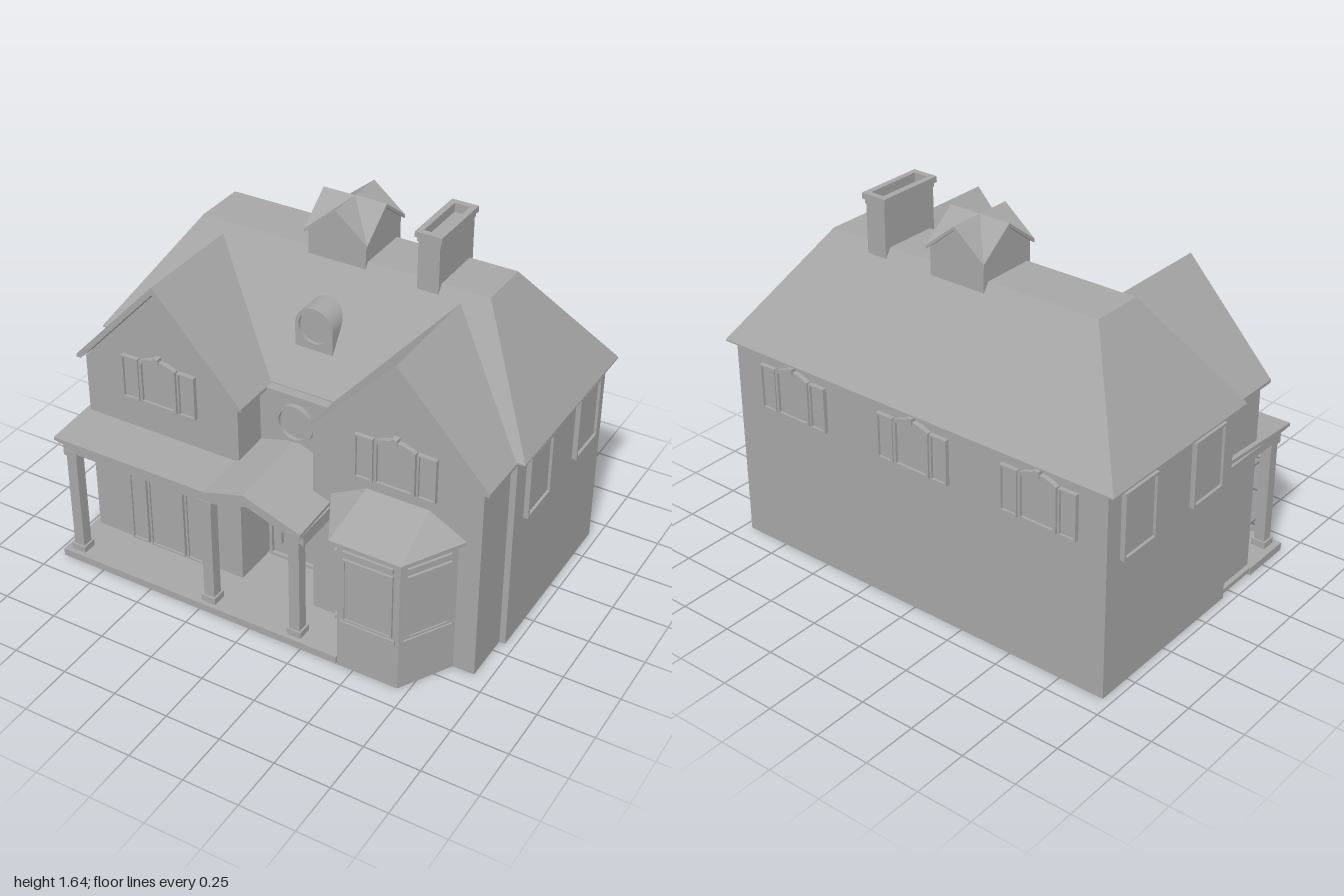
import * as THREE from 'three';
import { ConvexGeometry } from 'three/addons/geometries/ConvexGeometry.js';

const grey = new THREE.MeshStandardMaterial({ color: 0xa6a6a6 });
grey.name = 'plaster grey';

function add(parent, name, geo, x = 0, y = 0, z = 0, ry = 0) {
  const m = new THREE.Mesh(geo, grey);
  m.name = name;
  m.position.set(x, y, z);
  m.rotation.y = ry;
  parent.add(m);
  return m;
}
function group(parent, name, x = 0, y = 0, z = 0, ry = 0) {
  const g = new THREE.Group();
  g.name = name;
  g.position.set(x, y, z);
  g.rotation.y = ry;
  parent.add(g);
  return g;
}
const v3 = (a) => new THREE.Vector3(...a);
const poly = (pts) => new THREE.Shape(pts.map(([x, y]) => new THREE.Vector2(x, y)));
// plan rectangle, counter-clockwise seen from above
const rect = (x0, x1, z0, z1) => [[x0, z1], [x1, z1], [x1, z0], [x0, z0]];
const extrude = (shape, depth) =>
  new THREE.ExtrudeGeometry(shape, { depth, bevelEnabled: false, curveSegments: 12 });

// box given by its min and max corners
function block(parent, name, x0, x1, y0, y1, z0, z1) {
  return add(parent, name, new THREE.BoxGeometry(x1 - x0, y1 - y0, z1 - z0),
    (x0 + x1) / 2, (y0 + y1) / 2, (z0 + z1) / 2);
}
// plan outline of [x, z] points raised from y0 to y1, hollow if an inner outline is given
function prism(parent, name, pts, y0, y1, inner) {
  const flip = (list) => poly(list.map(([x, z]) => [x, -z]));
  const s = flip(pts);
  if (inner) s.holes.push(flip(inner));
  return add(parent, name, extrude(s, y1 - y0).rotateX(-Math.PI / 2), 0, y0, 0);
}
// rectangle with an optional arched top, standing on y0
function archShape(w, h, rise = 0, y0 = 0) {
  const s = new THREE.Shape();
  s.moveTo(-w / 2, y0);
  s.lineTo(w / 2, y0);
  s.lineTo(w / 2, y0 + h);
  if (rise) s.quadraticCurveTo(0, y0 + h + rise * 2, -w / 2, y0 + h);
  else s.lineTo(-w / 2, y0 + h);
  return s;
}
// frame with a recessed pane, facing local +z, standing on y = 0
function framed(parent, name, w, h, x, y, z, ry = 0, rise = 0, depth = 0.02, rim = 0.012) {
  const g = group(parent, name, x, y, z, ry);
  const s = archShape(w, h, rise);
  s.holes.push(archShape(w - 2 * rim, h - 2 * rim, rise, rim));
  add(g, 'frame', extrude(s, depth));
  add(g, 'pane', extrude(archShape(w - rim, h - rim, rise, rim / 2), depth * 0.45));
  return g;
}
// arched window with a shutter on each side and a keystone
function shutteredWindow(parent, name, x, y, z, ry = 0) {
  const g = group(parent, name, x, y, z, ry);
  framed(g, 'archedWindow', 0.18, 0.205, 0, 0, 0, 0, 0.025, 0.022);
  for (const s of [-1, 1]) framed(g, 'shutter', 0.083, 0.205, s * 0.139, 0, 0, 0, 0, 0.02, 0.008);
  block(g, 'keystone', -0.013, 0.013, 0.215, 0.245, 0, 0.028);
}
// round frame with a recessed flat pane
function roundWindow(parent, name, r, x, y, z, depth) {
  const g = group(parent, name, x, y, z);
  const s = new THREE.Shape().absarc(0, 0, r, 0, Math.PI * 2);
  s.holes.push(new THREE.Path().absarc(0, 0, r - 0.013, 0, Math.PI * 2, true));
  add(g, 'roundFrame', new THREE.ExtrudeGeometry(s, { depth, bevelEnabled: false, curveSegments: 32 }));
  add(g, 'roundPane', new THREE.CircleGeometry(r - 0.006, 32), 0, 0, depth * 0.35);
}
const gableWall = (halfW, base, eave, peak, z0, z1) =>
  extrude(poly([[-halfW, base], [halfW, base], [halfW, eave], [0, peak], [-halfW, eave]]), z1 - z0)
    .translate(0, 0, z0);

function buildBody(root) {
  prism(root, 'mainWalls', rect(-0.96, 0.96, -0.66, 0.19), 0, 0.932, rect(-0.94, 0.94, -0.64, 0.17));
  // hipped main roof with a flat top
  const pts = [];
  for (const s of [-1, 1]) {
    for (const y of [0.93, 0.937]) pts.push([s, y, -0.685], [s, y, 0.21]);
    pts.push([s * 0.67, 1.42, -0.345], [s * 0.67, 1.42, -0.105]);
  }
  add(root, 'mainRoof', new ConvexGeometry(pts.map(v3)));

  for (const s of [-1, 1]) {
    // front wings with gables
    const wing = group(root, 'gableWing', s * 0.555);
    prism(wing, 'wingWall', rect(-0.378, 0.378, 0.19, 0.42), 0, 0.9, rect(-0.358, 0.358, 0.2, 0.4));
    add(wing, 'wingGable', gableWall(0.378, 0.9, 0.925, 1.335, 0.18, 0.42));
    // folded roof slab with level-cut eaves
    const slab = poly([[-0.41, 0.918], [-0.389, 0.918], [0, 1.34], [0.389, 0.918], [0.41, 0.918],
      [0.41, 0.932], [0, 1.375], [-0.41, 0.932]]);
    const roof = extrude(slab, 0.943).translate(0, 0, -0.5);
    // cut the rear of the slab along the main roof slope
    const p = roof.attributes.position;
    for (let i = 0; i < p.count; i++) {
      if (p.getZ(i) < 0) p.setZ(i, Math.min(0.2, 0.2 - (p.getY(i) - 0.93) * 0.63));
    }
    roof.computeVertexNormals();
    add(wing, 'wingRoof', roof);
    shutteredWindow(wing, 'wingWindow', 0, 0.795, 0.42);
    // side windows
    for (const z of [-0.005, -0.47])
      framed(root, 'sideWindow', 0.212, 0.297, s * 0.96, 0.598, z, s * Math.PI / 2, 0, 0.022);
  }
  for (const x of [-0.647, -0.02, 0.63]) shutteredWindow(root, 'backWindow', x, 0.675, -0.66, Math.PI);
  // upper wall between the wings
  block(root, 'entryUpperWall', -0.18, 0.18, 0.62, 0.932, 0.18, 0.252);
  roundWindow(root, 'upperRoundWindow', 0.087, 0, 0.81, 0.25, 0.026);
}

// thin four-gabled roof: a ring of eave corners and gable peaks around a centre
function starRoof(w, d, eave, peak, t) {
  const ring = [[w, eave, d], [w, peak, 0], [w, eave, -d], [0, peak, -d],
    [-w, eave, -d], [-w, peak, 0], [-w, eave, d], [0, peak, d]];
  const pos = [];
  const low = ([x, y, z]) => [x, y - t, z];
  const c = [0, peak, 0];
  ring.forEach((a, i) => {
    const b = ring[(i + 1) % 8];
    pos.push(...a, ...b, ...c, ...low(b), ...low(a), ...low(c));
    pos.push(...a, ...low(a), ...b, ...b, ...low(a), ...low(b));
  });
  const geo = new THREE.BufferGeometry();
  geo.setAttribute('position', new THREE.Float32BufferAttribute(pos, 3));
  geo.computeVertexNormals();
  return geo;
}

function buildRoofDetails(root) {
  // arched dormer with a round opening
  const dormer = group(root, 'dormer');
  const s = new THREE.Shape();
  s.moveTo(-0.088, 1.08);
  s.lineTo(0.088, 1.08);
  s.lineTo(0.088, 1.187);
  s.absarc(0, 1.187, 0.088, 0, Math.PI);
  s.holes.push(new THREE.Path().absarc(0, 1.185, 0.073, 0, Math.PI * 2, true));
  add(dormer, 'dormerBody', extrude(s, 0.13), 0, 0, -0.015);
  add(dormer, 'dormerPane', new THREE.CircleGeometry(0.078, 32), 0, 1.185, 0.1);

  // square cupola with crossing gables
  const cupola = group(root, 'cupola', -0.013, 0, -0.232);
  for (const [w, d, ry] of [[0.134, 0.144, 0], [0.144, 0.134, Math.PI / 2]])
    add(cupola, 'cupolaWall', gableWall(w, 1.38, 1.5, 1.612, -d, d), 0, 0, 0, ry);
  add(cupola, 'cupolaRoof', starRoof(0.147, 0.157, 1.507, 1.628, 0.016));

  // chimney with hollow cap
  const chimney = group(root, 'chimney', 0.407, 0, -0.227);
  const flue = rect(-0.034, 0.034, -0.13, 0.13);
  block(chimney, 'shaft', -0.048, 0.048, 1.36, 1.6, -0.147, 0.147);
  prism(chimney, 'capNeck', rect(-0.052, 0.052, -0.15, 0.15), 1.595, 1.615, flue);
  prism(chimney, 'capRim', rect(-0.06, 0.06, -0.157, 0.157), 1.615, 1.64, flue);
}

function buildPorch(root) {
  const porch = group(root, 'porch');
  block(porch, 'deck', -0.955, 0.42, 0.015, 0.035, -0.65, 0.645);
  prism(porch, 'deckSkirt', rect(-0.96, 0.42, 0.4, 0.65), 0, 0.035, rect(-0.94, 0.4, 0.42, 0.63));
  // roof, cornice and beam share one front profile with a raised centre
  const band = (name, x0, lo, hi, z1, rise) => {
    const line = [[x0, 0], [-0.2, 0], [-0.01, 0.055], [0.256, -0.037]];
    const pts = [...line.map(([x, y]) => [x, y + lo]), ...line.reverse().map(([x, y]) => [x, y + hi])];
    const geo = extrude(poly(pts), z1 - 0.19);
    // lift the rear edge so the roof drains forward
    const p = geo.attributes.position;
    for (let i = 0; i < p.count; i++) if (p.getZ(i) < 0.01) p.setY(i, p.getY(i) + rise);
    geo.computeVertexNormals();
    add(porch, name, geo, 0, 0, 0.19);
  };
  band('porchRoof', -0.955, 0.618, 0.634, 0.65, 0.028);
  band('porchCornice', -0.945, 0.605, 0.618, 0.64, 0);
  band('porchBeam', -0.93, 0.56, 0.605, 0.625, 0);
  for (const x of [-0.895, -0.215, 0.205]) {
    const post = group(porch, 'post', x, 0, 0.595);
    block(post, 'postBase', -0.034, 0.034, 0.035, 0.065, -0.034, 0.034);
    block(post, 'postShaft', -0.025, 0.025, 0.065, 0.57, -0.025, 0.025);
    block(post, 'postCapital', -0.033, 0.033, 0.54, 0.57, -0.033, 0.033);
  }
  // triple window under the porch
  const win = group(root, 'porchWindow', -0.555, 0.04, 0.42);
  block(win, 'header', -0.195, 0.195, 0.455, 0.5, 0, 0.018);
  for (const [x, w] of [[-0.145, 0.088], [0, 0.18], [0.145, 0.088]])
    framed(win, 'glazing', w, 0.445, x, 0, 0, 0, 0, 0.016, 0.009);
  // front door
  const door = framed(root, 'frontDoor', 0.335, 0.46, 0, 0.035, 0.19, 0, 0.025, 0.03, 0.014);
  block(door, 'doorHandle', -0.108, -0.102, 0.08, 0.355, 0.01, 0.035);
}

function buildBay(root) {
  const bay = group(root, 'bayWindow');
  const cx = 0.565;
  const outline = (o, back) => [[cx - 0.272 - o, back], [cx - 0.272 - o, 0.42], [cx - 0.14 - o * 0.6, 0.65 + o],
    [cx + 0.14 + o * 0.6, 0.65 + o], [cx + 0.272 + o, 0.42], [cx + 0.272 + o, back]];
  prism(bay, 'bayWall', outline(0, 0.405), 0, 0.645, outline(-0.018, 0.415));
  const eave = outline(0.033, 0.4);
  const pts = [...eave.map(([x, z]) => [x, 0.64, z]), ...eave.map(([x, z]) => [x, 0.655, z])];
  for (const z of [0.4, 0.425]) pts.push([cx - 0.14, 0.745, z], [cx + 0.14, 0.745, z]);
  add(bay, 'bayRoof', new ConvexGeometry(pts.map(v3)));
  // one window, header and sill on each of the three faces
  const turn = Math.atan2(0.23, 0.132);
  for (const [x, z, w, ry] of [[cx, 0.65, 0.225, 0], [cx - 0.206, 0.535, 0.2, -turn], [cx + 0.206, 0.535, 0.2, turn]]) {
    const face = group(bay, 'bayFace', x, 0, z, ry);
    framed(face, 'bayGlazing', w, 0.31, 0, 0.255, 0, 0, 0, 0.011, 0.01);
    block(face, 'bayHeader', -w / 2, w / 2, 0.58, 0.605, 0, 0.011);
    block(face, 'baySill', -w / 2 - 0.012, w / 2 + 0.012, 0.225, 0.245, 0, 0.009);
  }
}

export function createModel() {
  const root = new THREE.Group();
  root.name = 'house';
  buildBody(root);
  buildRoofDetails(root);
  buildPorch(root);
  buildBay(root);
  return root;
}
